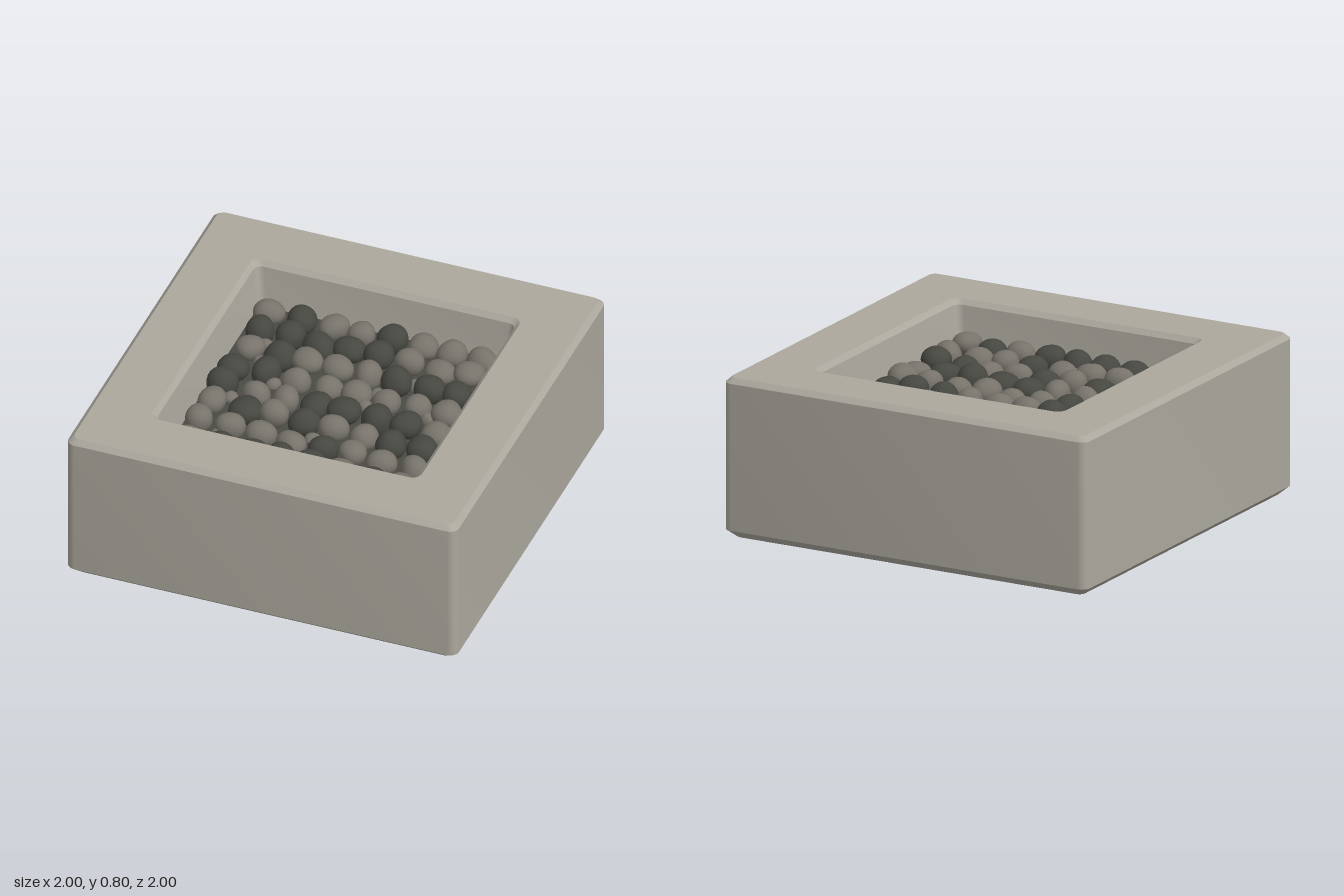
import * as THREE from 'three';
import { mergeVertices, toCreasedNormals } from 'three/addons/utils/BufferGeometryUtils.js';

const mat = (name, color) => new THREE.MeshStandardMaterial({ name, color });

// Points around a rounded square of half-width h and corner radius r
function ring(h, y, r) {
  const pts = [], steps = 6;
  for (let q = 0; q < 4; q++) {
    const mid = (q + 0.5) * Math.PI / 2;
    const cx = Math.sign(Math.cos(mid)) * (h - r), cz = Math.sign(Math.sin(mid)) * (h - r);
    for (let s = 0; s <= steps; s++) {
      const a = (q + s / steps) * Math.PI / 2;
      pts.push([cx + r * Math.cos(a), y, cz + r * Math.sin(a)]);
    }
  }
  return pts;
}

// Skin a profile of [half-width, height, corner radius] rings
function loft(profile) {
  const rings = profile.map(p => ring(...p));
  const pos = [];
  for (let i = 0; i < rings.length - 1; i++) {
    const n = rings[i].length;
    for (let j = 0; j < n; j++) {
      const k = (j + 1) % n;
      const a = rings[i][j], b = rings[i + 1][j], c = rings[i + 1][k], d = rings[i][k];
      if (profile[i + 1][0] > 0) pos.push(...a, ...b, ...c);
      if (profile[i][0] > 0) pos.push(...a, ...c, ...d);
    }
  }
  const g = new THREE.BufferGeometry();
  g.setAttribute('position', new THREE.Float32BufferAttribute(pos, 3));
  return toCreasedNormals(g, 0.5);
}

// Lumpy, smoothly shaded stone
function pebbleGeometry(rand) {
  let g = new THREE.IcosahedronGeometry(1, 4);
  g.deleteAttribute('normal');
  g.deleteAttribute('uv');
  g = mergeVertices(g);
  const p = g.attributes.position, v = new THREE.Vector3();
  const f = [0, 1, 2].map(() => rand() * 6.28);
  for (let i = 0; i < p.count; i++) {
    v.fromBufferAttribute(p, i);
    const k = 1 + 0.07 * Math.sin(2.1 * v.x + f[0]) + 0.07 * Math.sin(2.3 * v.z + f[1])
      + 0.05 * Math.sin(2.7 * v.y + f[2]);
    p.setXYZ(i, v.x * k, v.y * k, v.z * k);
  }
  g.computeVertexNormals();
  return g;
}

export function createModel() {
  const group = new THREE.Group();
  const stone = mat('pale concrete', 0xaba79d);
  const soil = mat('dark bed', 0x4a4a45);
  const light = mat('light pebble', 0x77736b);
  const dark = mat('dark pebble', 0x464741);

  let seed = 7;
  const rand = () => (seed = (seed * 16807) % 2147483647) / 2147483647;
  const add = (name, geo, material, parent = group) => {
    const m = new THREE.Mesh(geo, material);
    m.name = name;
    parent.add(m);
    return m;
  };

  // Planter block: chamfered outside, tapered pocket inside
  add('planterBlock', loft([
    [0, 0, 0], [0.955, 0, 0.03], [1, 0.04, 0.045], [1, 0.775, 0.045], [0.975, 0.8, 0.035],
    [0.69, 0.8, 0.05], [0.667, 0.775, 0.04], [0.638, 0.54, 0.035],
  ]), stone);

  // Floor of the pocket
  add('gravelBed', loft([[0.642, 0.56, 0.035], [0, 0.56, 0]]), soil);

  // Main pebbles, row by row from the back (D dark, L light)
  const pebbles = new THREE.Group();
  pebbles.name = 'pebbles';
  group.add(pebbles);
  const rows = ['LDLLDLLL', 'DDDDDLLL', 'LDLLLDDD', 'DDLLLLLL',
    'DLLDDDDL', 'LDLDLLDD', 'LLLLDLLL', 'LDDDDLDL'];
  rows.forEach((row, r) => [...row].forEach((c, i) => {
    const m = add('pebble', pebbleGeometry(rand), c === 'D' ? dark : light, pebbles);
    const size = c === 'D' ? 0.077 : 0.071;
    m.position.set((i - 3.5) * 0.154 + (rand() - 0.5) * 0.02, 0.605 + rand() * 0.02,
      (r - 3.5) * 0.155 + (rand() - 0.5) * 0.02);
    m.scale.set(size * (0.95 + rand() * 0.12), size * 0.92, size * (0.95 + rand() * 0.12));
    m.rotation.y = rand() * 6.28;
  }));

  // Small stones in the gaps
  [[-0.48, -0.31], [-0.45, -0.17], [-0.33, -0.03], [0.31, -0.26], [0.16, -0.13], [0.46, -0.03],
    [0.14, -0.02], [-0.22, 0.16], [-0.48, 0.15], [-0.43, 0.44], [-0.1, 0.45], [0, 0.32]].forEach(([x, z]) => {
    const m = add('smallPebble', pebbleGeometry(rand), light, pebbles);
    m.position.set(x, 0.595, z);
    m.scale.set(0.04, 0.033, 0.035);
    m.rotation.y = rand() * 6.28;
  });

  return group;
}
